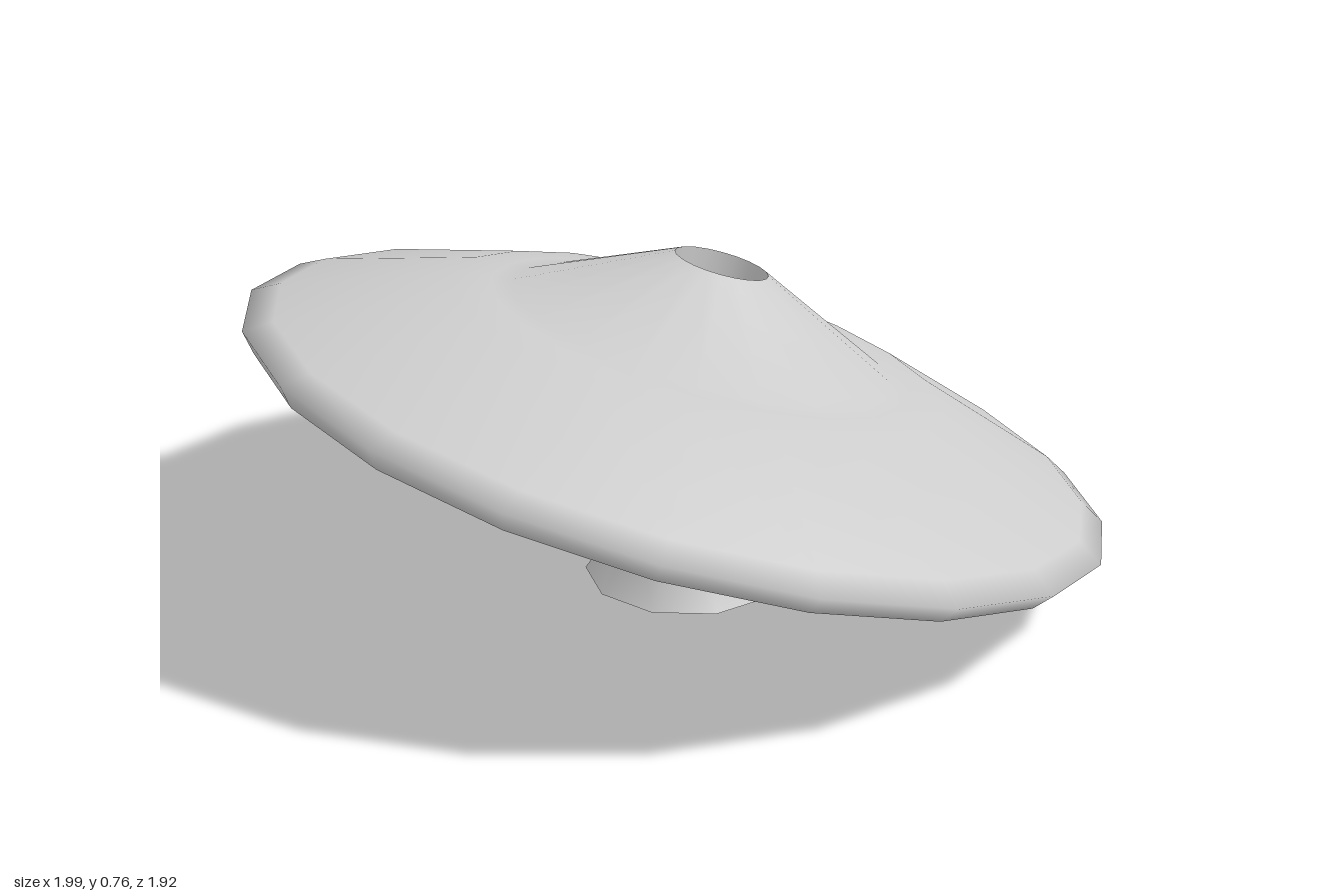
import * as THREE from 'three';
import { toCreasedNormals } from 'three/addons/utils/BufferGeometryUtils.js';

const material = new THREE.MeshStandardMaterial({ color: 0xcccccc, side: THREE.DoubleSide });

function lathe(profile, sides) {
  return new THREE.LatheGeometry(profile.map(([r, y]) => new THREE.Vector2(r, y)), sides);
}

function part(name, geometry, crease) {
  const mesh = new THREE.Mesh(toCreasedNormals(geometry, crease), material);
  mesh.name = name;
  return mesh;
}

export function createModel() {
  const group = new THREE.Group();
  group.name = 'mushroom';

  // Tilted cap
  const cap = new THREE.Group();
  cap.name = 'cap';
  const axis = new THREE.Vector3(0.08, 1, -0.28).normalize();
  cap.quaternion.setFromUnitVectors(new THREE.Vector3(0, 1, 0), axis);
  cap.rotateY(-0.035);
  cap.position.y = 0.4;
  group.add(cap);

  // Brim with a small turned-under lip
  cap.add(part('brim', lathe([
    [0.965, -0.045], [1.0, 0.0], [0.94, 0.033], [0.57, 0.165], [0.49, 0.178],
  ], 20), 1.9));

  // Central cone, open at the tip
  cap.add(part('crown', lathe([[0.49, 0.178], [0.44, 0.184], [0.108, 0.347]], 20), 0.9));

  // Wall of the tip hole and the hollow underside, down to the lip
  cap.add(part('underside', lathe([
    [0.108, 0.347], [0.095, 0.16], [0.52, 0.115], [0.965, -0.045],
  ], 20), 0.6));

  // Stem: flared open foot, narrowing upward and leaning back
  const stemGeometry = lathe([
    [0.232, 0.004], [0.146, 0.15], [0.124, 0.36], [0.099, 0.58], [0.096, 0.66], [0, 0.66],
  ], 10);
  const p = stemGeometry.attributes.position;
  for (let i = 0; i < p.count; i++) {
    const y = p.getY(i);
    p.setX(i, p.getX(i) + 0.033);
    p.setZ(i, p.getZ(i) + 0.01 - 0.13 * y);
    if (y < 0.01) p.setY(i, y + 0.02 * p.getZ(i)); // foot rim tips slightly
  }
  group.add(part('stem', stemGeometry, 0.8));

  return group;
}
